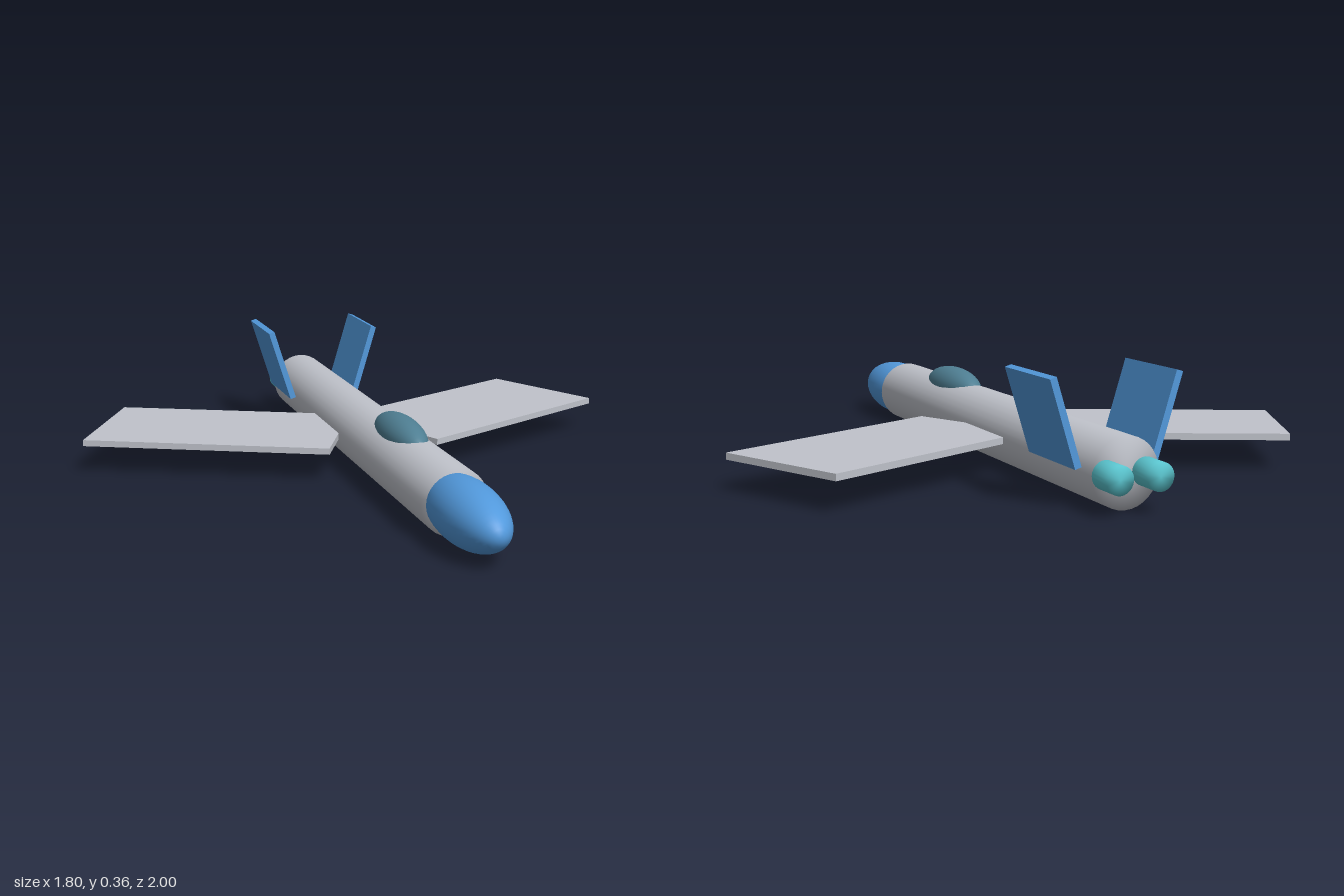
import * as THREE from 'three';
import { mergeVertices } from 'three/addons/utils/BufferGeometryUtils.js';

const paint = (name, color) => {
  const m = new THREE.MeshStandardMaterial({ color });
  m.name = name;
  return m;
};

// Cylinder along z whose normals blend softly around the end rims
function softCylinder(radius, length, sides) {
  const g = new THREE.CylinderGeometry(radius, radius, length, sides);
  g.rotateX(Math.PI / 2);
  g.deleteAttribute('normal');
  g.deleteAttribute('uv');
  const merged = mergeVertices(g);
  merged.computeVertexNormals();
  return merged;
}

function ellipsoid(rx, ry, rz) {
  const g = new THREE.SphereGeometry(1, 32, 24);
  g.rotateX(Math.PI / 2);
  g.scale(rx, ry, rz);
  return g;
}

export function createModel() {
  const grey = paint('hull grey', 0xc0c3cb);
  const blue = paint('trim blue', 0x5299dc);
  const glass = paint('canopy teal', 0x4f7f93);
  const cyan = paint('engine cyan', 0x5cc8d2);

  const model = new THREE.Group();
  model.name = 'jet';
  const add = (name, geometry, material, x, y, z) => {
    const mesh = new THREE.Mesh(geometry, material);
    mesh.name = name;
    mesh.position.set(x, y, z);
    model.add(mesh);
    return mesh;
  };

  // Body
  add('fuselage', softCylinder(0.1, 1.6, 32), grey, 0, 0.1, -0.12);
  add('nose', ellipsoid(0.092, 0.092, 0.23), blue, 0, 0.1, 0.77);
  add('canopy', ellipsoid(0.061, 0.061, 0.18), glass, 0, 0.18, 0.235);

  // Mirrored pairs
  for (const [side, s] of [['left', 1], ['right', -1]]) {
    // Swept wing, its root buried in the fuselage
    const wing = add(side + 'Wing', new THREE.BoxGeometry(0.8, 0.02, 0.44), grey, s * 0.445, 0.1, -0.295);
    wing.rotation.y = s * 0.45;

    // Tail fin leaning outwards
    const fin = add(side + 'Fin', new THREE.BoxGeometry(0.02, 0.254, 0.276), blue, s * 0.152, 0.234, -0.736);
    fin.rotation.z = -s * 0.3;

    // Engine nozzle
    add(side + 'Engine', softCylinder(0.04, 0.1, 24), cyan, s * 0.06, 0.1, -0.95);
  }
  return model;
}
